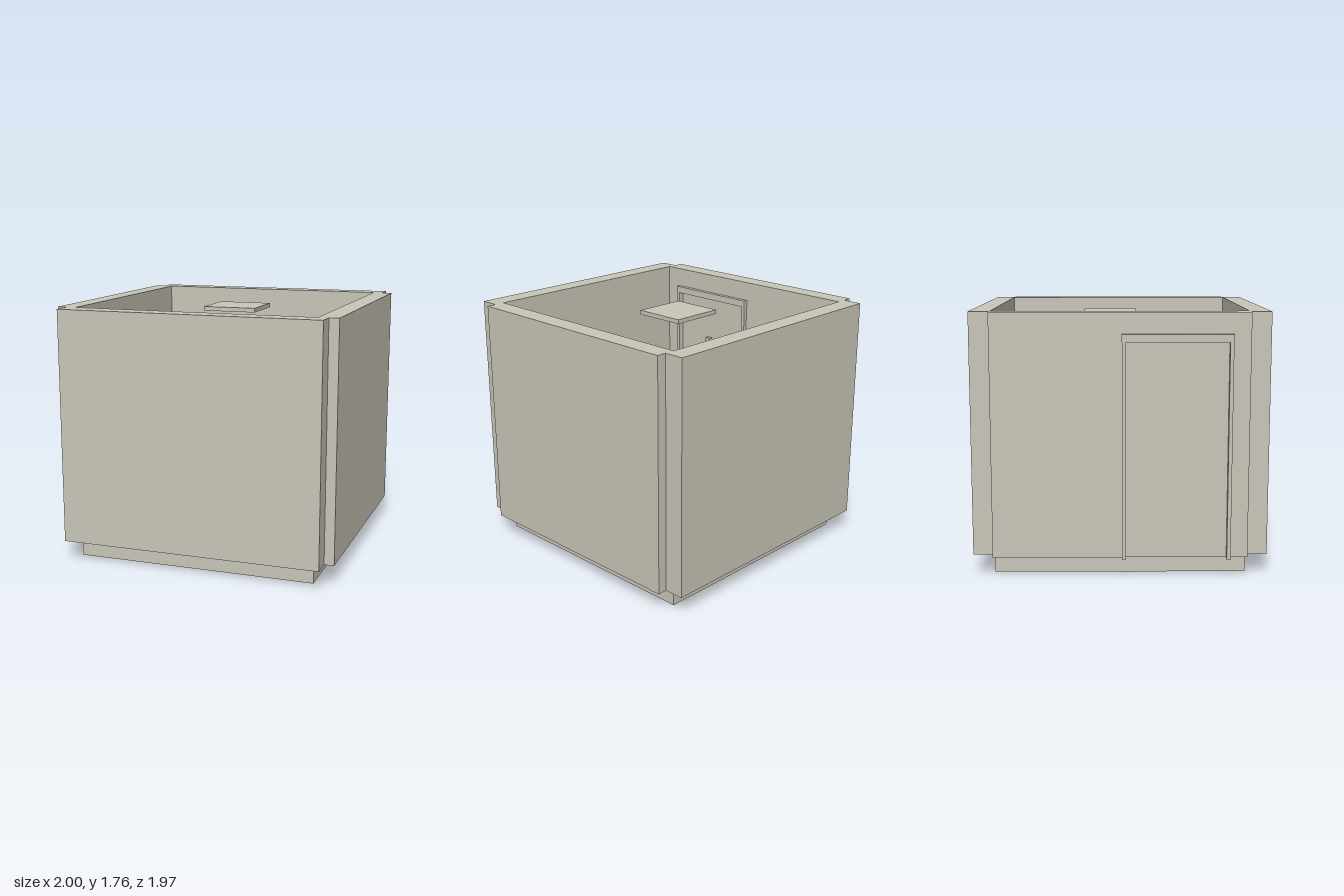
import * as THREE from 'three';

const stone = new THREE.MeshStandardMaterial({ color: 0xc9c5b8 });
stone.name = 'warm stone';
const slate = new THREE.MeshStandardMaterial({ color: 0x656462 });
slate.name = 'dark slate';

const FLOOR = 0.14, TOP = 1.765;

export function createModel() {
  const model = new THREE.Group();
  model.name = 'bathroom';

  const group = (name) => {
    const g = new THREE.Group();
    g.name = name;
    model.add(g);
    return g;
  };
  const add = (parent, name, geometry, material = stone) => {
    const mesh = new THREE.Mesh(geometry, material);
    mesh.name = name;
    parent.add(mesh);
    return mesh;
  };
  // box given by its limits on each axis
  const box = (parent, name, [x0, x1], [y0, y1], [z0, z1], material) => {
    const mesh = add(parent, name, new THREE.BoxGeometry(x1 - x0, y1 - y0, z1 - z0), material);
    mesh.position.set((x0 + x1) / 2, (y0 + y1) / 2, (z0 + z1) / 2);
    return mesh;
  };
  // cylinder between two points
  const rod = (parent, name, a, b, r, material, r2 = r) => {
    const from = new THREE.Vector3(...a), to = new THREE.Vector3(...b);
    const dir = to.clone().sub(from);
    const mesh = add(parent, name, new THREE.CylinderGeometry(r2, r, dir.length(), 24), material);
    mesh.position.copy(from).add(to).multiplyScalar(0.5);
    mesh.quaternion.setFromUnitVectors(new THREE.Vector3(0, 1, 0), dir.normalize());
    return mesh;
  };

  // Base slab and walls
  const shell = group('shell');
  box(shell, 'floorSlab', [-0.835, 0.86], [0, FLOOR], [-0.848, 0.845]);
  box(shell, 'frontWall', [-0.9, 0.93], [FLOOR, TOP], [0.845, 0.983]);
  box(shell, 'backWall', [-0.9, 0.93], [FLOOR, TOP], [-0.985, -0.848]);
  box(shell, 'leftWall', [0.86, 0.998], [FLOOR, TOP], [-0.848, 0.845]);

  // Wall with the doorway cut out, drawn in z and y
  const outline = [[-0.848, FLOOR], [0.035, FLOOR], [0.035, 1.575], [0.705, 1.575],
    [0.705, FLOOR], [0.845, FLOOR], [0.845, TOP], [-0.848, TOP]];
  const doorWall = new THREE.ExtrudeGeometry(
    new THREE.Shape(outline.map(([z, y]) => new THREE.Vector2(z, y))),
    { depth: 0.135, bevelEnabled: false });
  doorWall.rotateY(-Math.PI / 2).translate(-0.832, 0, 0);
  add(shell, 'doorWall', doorWall);

  // Door leaf with trim on both faces of the wall
  const door = group('door');
  box(door, 'doorLeaf', [-0.955, -0.845], [FLOOR, 1.575], [0.035, 0.705]);
  for (const [side, jambX, headX] of [
    ['outer', [-0.995, -0.967], [-1, -0.967]],
    ['inner', [-0.832, -0.804], [-0.832, -0.8]],
  ]) {
    box(door, side + 'JambBack', jambX, [FLOOR - 0.01, 1.575], [0.01, 0.035]);
    box(door, side + 'JambFront', jambX, [FLOOR - 0.01, 1.575], [0.705, 0.73]);
    box(door, side + 'Head', headX, [1.575, 1.625], [0.008, 0.732]);
  }

  // Skirting around the dry part of the room
  const skirting = group('skirting');
  const skirtY = [FLOOR, 0.21];
  box(skirting, 'skirtingBack', [-0.27, 0.86], skirtY, [-0.848, -0.822]);
  box(skirting, 'skirtingLeft', [0.832, 0.86], skirtY, [-0.822, 0.818]);
  box(skirting, 'skirtingFront', [-0.832, 0.86], skirtY, [0.818, 0.845]);
  box(skirting, 'skirtingDoorFront', [-0.832, -0.806], skirtY, [0.73, 0.818]);
  box(skirting, 'skirtingDoorBack', [-0.832, -0.806], skirtY, [-0.07, 0.01]);

  // Ceiling panel
  box(model, 'ceilingPanel', [-0.18, 0.205], [1.69, 1.72], [-0.255, 0.118]);

  // Shower: tray, screen with rail, head and valve
  const shower = group('shower');
  box(shower, 'showerTray', [-0.832, -0.29], [FLOOR, 0.16], [-0.848, -0.07]);
  box(shower, 'showerScreen', [-0.292, -0.272], [0.16, 1.42], [-0.83, -0.07]);
  box(shower, 'screenWallPost', [-0.305, -0.268], [0.16, 1.42], [-0.848, -0.822]);
  box(shower, 'screenEndPost', [-0.305, -0.29], [0.16, 1.46], [-0.085, -0.06]);
  rod(shower, 'screenRail', [-0.28, 1.45, -0.845], [-0.28, 1.45, -0.075], 0.01);
  for (const z of [-0.828, -0.1]) {
    box(shower, 'railBracket', [-0.295, -0.265], [1.41, 1.465], [z - 0.017, z + 0.017]);
  }
  rod(shower, 'showerArm', [-0.832, 1.41, -0.7], [-0.805, 1.395, -0.7], 0.014);
  rod(shower, 'showerHead', [-0.802, 1.37, -0.7], [-0.82, 1.4, -0.7], 0.033, stone, 0.018);
  rod(shower, 'valvePlate', [-0.832, 0.8, -0.53], [-0.815, 0.8, -0.53], 0.012);
  box(shower, 'valveHandle', [-0.815, -0.79], [0.78, 0.82], [-0.542, -0.52]);

  // Toilet
  const toilet = group('toilet');
  box(toilet, 'toiletFoot', [0.185, 0.39], [FLOOR, 0.38], [-0.78, -0.48]);
  box(toilet, 'toiletBowl', [0.16, 0.412], [0.34, 0.42], [-0.78, -0.44]);
  box(toilet, 'toiletLid', [0.17, 0.402], [0.42, 0.44], [-0.68, -0.465]);
  box(toilet, 'toiletTank', [0.165, 0.407], [0.42, 0.68], [-0.79, -0.68]);
  box(toilet, 'tankLid', [0.16, 0.412], [0.68, 0.7], [-0.8, -0.68]);

  // Waste bin
  rod(model, 'wasteBin', [0.57, FLOOR, -0.735], [0.57, 0.42, -0.735], 0.07, slate, 0.08);

  // Paper holder on the wall
  const holder = group('paperHolder');
  box(holder, 'holderPlate', [0.842, 0.86], [0.58, 0.68], [-0.83, -0.72]);
  box(holder, 'holderArm', [0.78, 0.842], [0.625, 0.637], [-0.787, -0.773]);
  rod(holder, 'paperRoll', [0.813, 0.63, -0.81], [0.813, 0.63, -0.75], 0.028);

  // Vanity: cabinet, counter with a sunk basin opening, tall back board
  const vanity = group('vanity');
  const vz = [-0.545, 0.2];
  box(vanity, 'cabinet', [0.63, 0.81], [FLOOR, 0.7], [-0.54, 0.195], slate);
  box(vanity, 'backBoard', [0.81, 0.832], [FLOOR, 1.41], vz, slate);
  box(vanity, 'backLedge', [0.79, 0.81], [0.74, 0.8], vz, slate);
  const top = new THREE.Shape([[0.62, -vz[1]], [0.81, -vz[1]], [0.81, -vz[0]], [0.62, -vz[0]]]
    .map(([x, y]) => new THREE.Vector2(x, y)));
  top.holes.push(new THREE.Path([[0.64, 0.135], [0.64, 0.455], [0.788, 0.455], [0.788, 0.135]]
    .map(([x, y]) => new THREE.Vector2(x, y))));
  const counter = new THREE.ExtrudeGeometry(top, { depth: 0.04, bevelEnabled: false });
  counter.rotateX(-Math.PI / 2).translate(0, 0.7, 0);
  add(vanity, 'counter', counter, slate);
  box(vanity, 'basinFloor', [0.64, 0.788], [0.7, 0.709], [-0.455, -0.135]);

  // Tap with two handles
  rod(vanity, 'tapStem', [0.78, 0.71, -0.24], [0.78, 0.82, -0.24], 0.009);
  rod(vanity, 'tapSpout', [0.785, 0.815, -0.24], [0.738, 0.815, -0.24], 0.008);
  for (const z of [-0.28, -0.2]) {
    rod(vanity, 'tapHandle', [0.782, 0.71, z], [0.782, 0.77, z], 0.006);
  }

  // Things on the counter
  box(vanity, 'counterBox', [0.665, 0.758], [0.74, 0.8], [-0.118, 0.002], slate);
  box(vanity, 'soapDish', [0.675, 0.746], [0.74, 0.755], [0.095, 0.167]);
  box(vanity, 'soap', [0.694, 0.727], [0.755, 0.775], [0.114, 0.148]);

  return model;
}
